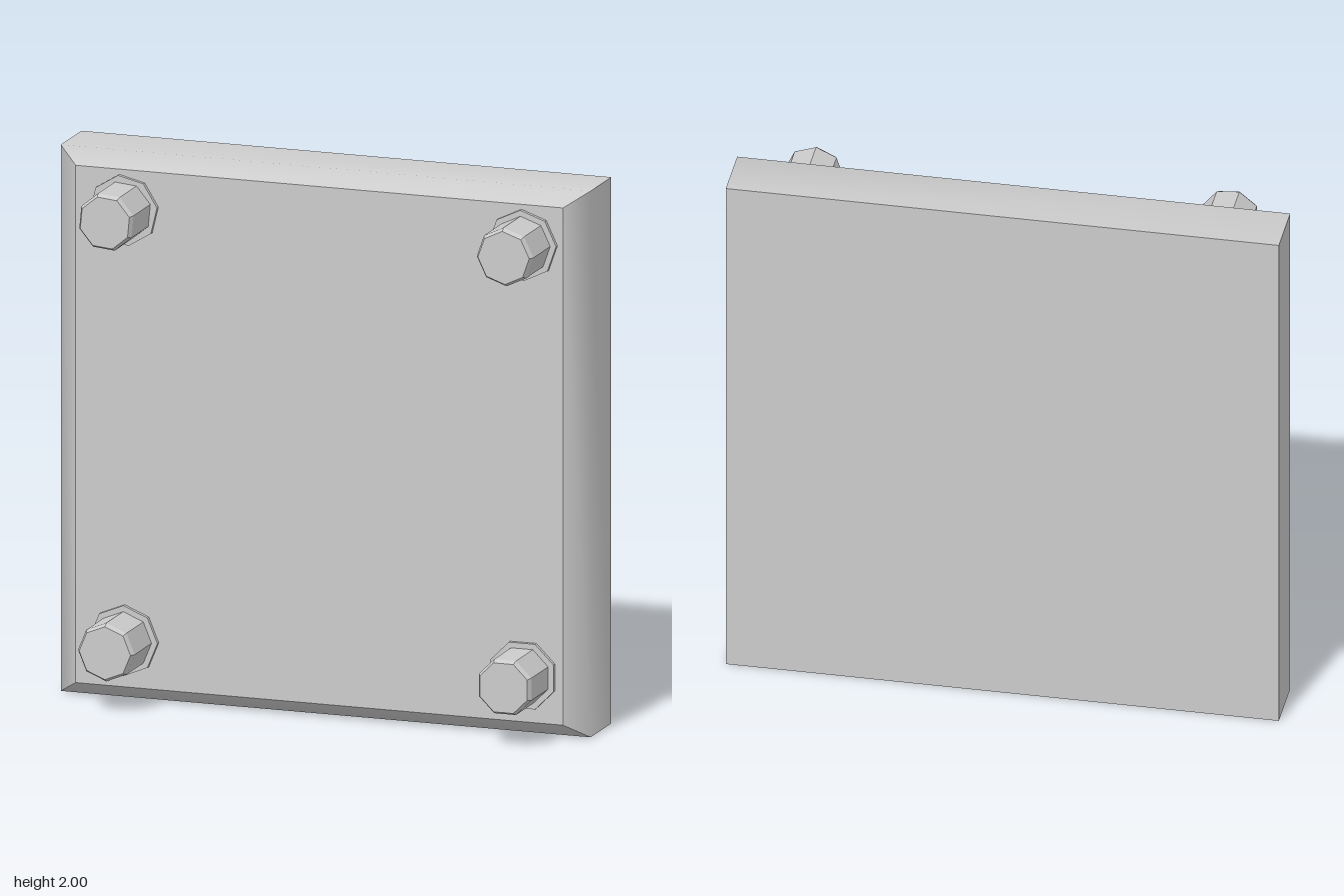
import * as THREE from 'three';
import { mergeGeometries } from 'three/addons/utils/BufferGeometryUtils.js';

const rad = THREE.MathUtils.degToRad;

// Small indexed patch; its vertices share smooth normals
function patch(points, index) {
  const g = new THREE.BufferGeometry();
  g.setAttribute('position', new THREE.Float32BufferAttribute(points.flat(), 3));
  g.setIndex(index);
  g.computeVertexNormals();
  return g;
}

// Corners of a rectangle centred on y = 1, counter-clockwise from the front
const ring = (hx, hy, z) => [[-hx, 1 - hy, z], [hx, 1 - hy, z], [hx, 1 + hy, z], [-hx, 1 + hy, z]];

// Slab with a bevelled front; each side blends softly into its bevel
function plateGeometry() {
  const back = ring(1, 1, -0.245);
  const edge = ring(1, 1, -0.03);
  const front = ring(0.92, 0.947, 0.037);
  const parts = [
    patch(front, [0, 1, 2, 0, 2, 3]),
    patch(back, [0, 2, 1, 0, 3, 2]),
  ];
  for (let i = 0; i < 4; i++) {
    const j = (i + 1) % 4;
    parts.push(patch(
      [back[i], back[j], edge[i], edge[j], front[i], front[j]],
      [0, 1, 3, 0, 3, 2, 2, 3, 5, 2, 5, 4],
    ));
  }
  return mergeGeometries(parts);
}

// Eight-sided solid turned about the z axis; profile holds [radius, z] pairs
function octagonal(profile, degrees) {
  const g = new THREE.LatheGeometry(profile.map(([r, z]) => new THREE.Vector2(r, z)), 8);
  g.rotateX(Math.PI / 2);
  g.rotateZ(rad(degrees));
  return g;
}

export function createModel() {
  const model = new THREE.Group();
  const smooth = new THREE.MeshStandardMaterial({ color: 0xcccccc });
  const faceted = new THREE.MeshStandardMaterial({ color: 0xcccccc, flatShading: true });
  const add = (parent, name, geometry, material) => {
    const mesh = new THREE.Mesh(geometry, material);
    mesh.name = name;
    parent.add(mesh);
  };

  add(model, 'plate', plateGeometry(), smooth);

  // Corner bolts, each turned a little differently: x, y, head turn, washer turn
  const bolts = [
    [-0.735, 1.8, 17, 9],
    [0.77, 1.8, 3, 3],
    [-0.735, 0.225, 0, 0],
    [0.77, 0.225, 22.5, 22.5],
  ];
  for (const [x, y, headTurn, washerTurn] of bolts) {
    const bolt = new THREE.Group();
    bolt.name = 'bolt';
    bolt.position.set(x, y, 0);
    add(bolt, 'washer', octagonal([[0, 0.02], [0.129, 0.02], [0.129, 0.052], [0, 0.052]], washerTurn), faceted);
    add(bolt, 'boltHead', octagonal([[0, 0.03], [0.107, 0.03], [0.107, 0.228], [0.097, 0.245], [0, 0.245]], headTurn), faceted);
    model.add(bolt);
  }
  return model;
}
